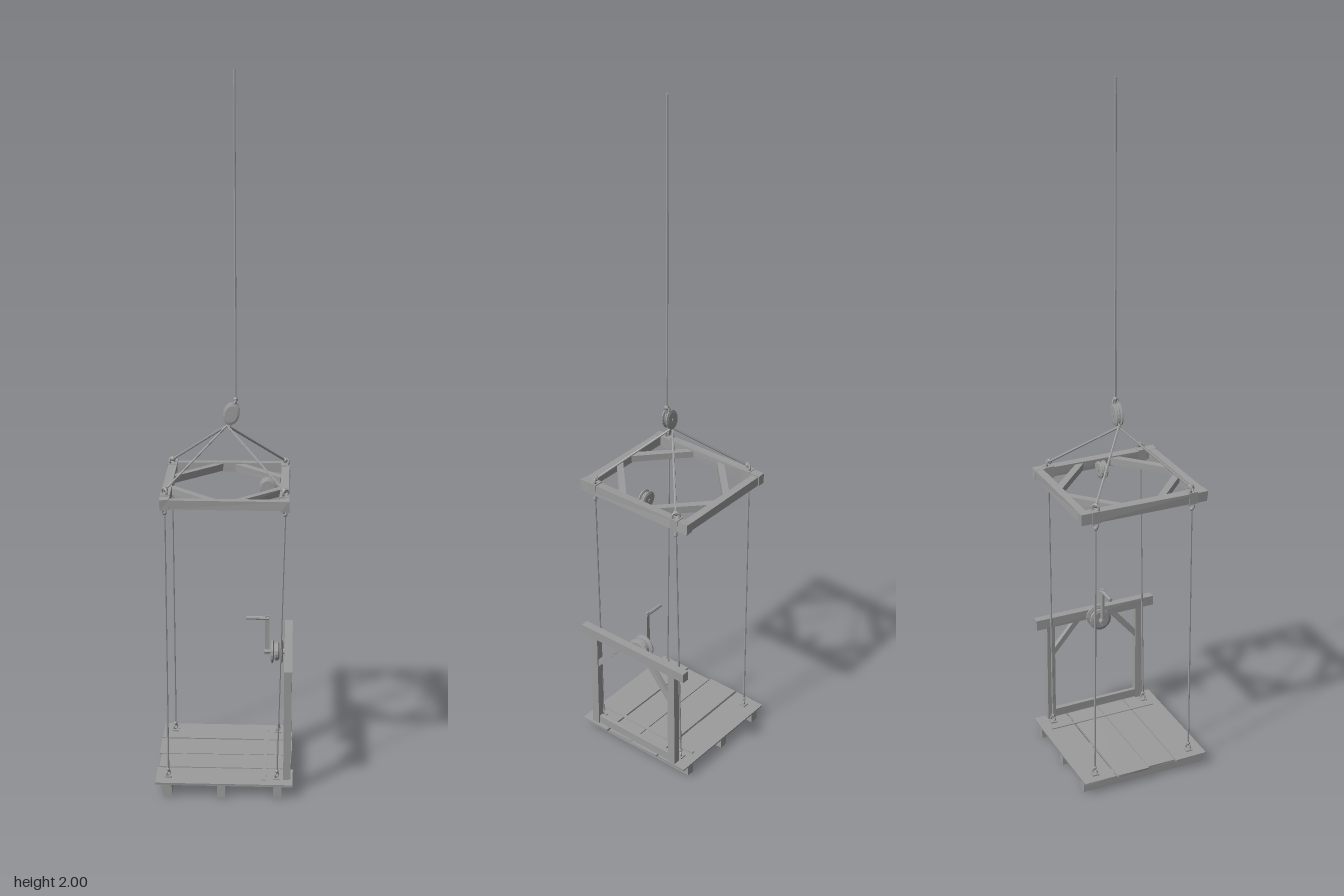
import * as THREE from 'three';

const mat = new THREE.MeshStandardMaterial({ color: 0x9c9c9c, flatShading: true });
const V = (x, y, z) => new THREE.Vector3(x, y, z);

// small seeded generator for hand-hewn timber
let seed = 7;
const rnd = () => ((seed = (seed * 16807) % 2147483647) / 2147483647 - 0.5);

export function createModel() {
  seed = 7;
  const root = new THREE.Group();
  const section = (name, parent = root) => {
    const g = new THREE.Group();
    g.name = name;
    parent.add(g);
    return g;
  };
  const add = (parent, name, geo, x = 0, y = 0, z = 0) => {
    const m = new THREE.Mesh(geo, mat);
    m.name = name;
    m.position.set(x, y, z);
    parent.add(m);
    return m;
  };

  // timber from a to b, slightly uneven at its ends; w across, h upward
  const beam = (parent, name, a, b, w, h, rough = 0.002) => {
    const geo = new THREE.BoxGeometry(w, h, a.distanceTo(b));
    const p = geo.attributes.position;
    const shift = Array.from({ length: 8 }, () => [rnd() * rough, rnd() * rough, rnd() * rough]);
    for (let i = 0; i < p.count; i++) {
      const s = shift[(p.getX(i) > 0) * 1 + (p.getY(i) > 0) * 2 + (p.getZ(i) > 0) * 4];
      p.setXYZ(i, p.getX(i) + s[0], p.getY(i) + s[1], p.getZ(i) + s[2]);
    }
    const m = add(parent, name, geo);
    m.position.copy(a).add(b).multiplyScalar(0.5);
    m.lookAt(b);
    return m;
  };
  const rod = (parent, name, a, b, r, sides = 6) => {
    const m = add(parent, name, new THREE.CylinderGeometry(r, r, a.distanceTo(b), sides));
    m.position.copy(a).add(b).multiplyScalar(0.5);
    m.quaternion.setFromUnitVectors(V(0, 1, 0), b.clone().sub(a).normalize());
    return m;
  };
  const ring = (parent, name, x, y, z, r, tube, turn = 0) => {
    const m = add(parent, name, new THREE.TorusGeometry(r, tube, 5, 10), x, y, z);
    m.rotation.y = turn;
    return m;
  };
  // disc with bevelled rims, axis along y
  const discGeo = (r, w) => new THREE.LatheGeometry(
    [[0, -w], [r * 0.75, -w], [r, -w * 0.4], [r, w * 0.4], [r * 0.75, w], [0, w]]
      .map(([x, y]) => new THREE.Vector2(x, y)), 16);

  // platform: four planks on three joists, with a thin slat on top
  const platform = section('platform');
  for (const x of [-0.16, -0.008, 0.15]) {
    beam(platform, 'joist', V(x, 0.018, -0.19), V(x, 0.018, 0.19), 0.024, 0.036, 0.001);
  }
  [[-0.195, -0.098, -0.195, 0.188], [-0.092, 0.004, -0.195, 0.189],
    [0.007, 0.09, -0.19, 0.187], [0.095, 0.191, -0.195, 0.192]].forEach(([z0, z1, x0, x1]) => {
    const z = (z0 + z1) / 2;
    beam(platform, 'plank', V(x0, 0.039, z), V(x1, 0.039, z), z1 - z0, 0.007, 0.0015);
  });
  beam(platform, 'floorSlat', V(0.112, 0.0435, -0.17), V(0.112, 0.0435, 0.165), 0.011, 0.003, 0);

  // side gate with braces
  const gate = section('gate');
  const gx = 0.176;
  for (const s of [-1, 1]) {
    beam(gate, 'gatePost', V(gx, 0.04, s * 0.145), V(gx, 0.36, s * 0.145), 0.02, 0.025);
    beam(gate, 'gateBrace', V(gx, 0.26, s * 0.14), V(gx, 0.36, s * 0.055), 0.015, 0.016);
  }
  beam(gate, 'gateTopRail', V(gx, 0.371, -0.19), V(gx, 0.371, 0.19), 0.023, 0.03);
  beam(gate, 'gateSill', V(gx, 0.057, -0.135), V(gx, 0.057, 0.135), 0.014, 0.026);

  // winch with crank handle
  const winch = section('winch');
  for (const [x, r, w] of [[0.13, 0.034, 0.005], [0.143, 0.026, 0.009], [0.156, 0.034, 0.005]]) {
    add(winch, 'winchDisc', discGeo(r, w), x, 0.367, 0).rotation.z = Math.PI / 2;
  }
  rod(winch, 'winchAxle', V(0.108, 0.367, 0), V(0.18, 0.367, 0), 0.008, 8);
  beam(winch, 'crankArm', V(0.115, 0.357, 0), V(0.115, 0.475, 0), 0.013, 0.007, 0.001).rotateZ(Math.PI);
  rod(winch, 'crankHandle', V(0.055, 0.468, 0), V(0.12, 0.468, 0), 0.0055, 8);

  // overhead frame
  const frame = section('overheadFrame');
  const fy = 0.865;
  for (const s of [-1, 1]) {
    beam(frame, 'sideBeam', V(s * 0.162, fy, -0.191), V(s * 0.162, fy, 0.189), 0.024, 0.03, 0.003);
    beam(frame, 'crossBeam', V(-0.152, fy, s * 0.177), V(0.152, fy, s * 0.177), 0.022, 0.026, 0.003);
    for (const t of [-1, 1]) {
      beam(frame, 'cornerBrace', V(s * 0.155, fy, t * 0.05), V(s * 0.025, fy, t * 0.172), 0.02, 0.02);
    }
  }

  // pulley wheel hung from the side beam
  const pulley = section('pulley');
  for (const s of [-1, 0, 1]) {
    add(pulley, 'pulleyDisc', discGeo(s ? 0.025 : 0.021, 0.004), 0.115, 0.862, s * 0.0075).rotation.x = Math.PI / 2;
  }
  rod(pulley, 'pulleyPin', V(0.115, 0.862, -0.014), V(0.115, 0.862, 0.014), 0.005);
  beam(pulley, 'pulleyBracket', V(0.125, 0.862, 0), V(0.155, 0.862, 0), 0.012, 0.012, 0);

  // corner ropes, lashings, eyes and bridle
  const rigging = section('rigging');
  for (const sx of [-1, 1]) for (const sz of [-1, 1]) {
    const tx = sx * 0.164, tz = sz * 0.145, bx = sx > 0 ? 0.147 : -0.16, bz = sz * 0.15;
    const corner = section('cornerRigging', rigging);
    rod(corner, 'cornerRope', V(bx, 0.06, bz), V(tx, 0.835, tz), 0.0033);
    add(corner, 'floorPlate', new THREE.BoxGeometry(0.02, 0.004, 0.02), bx, 0.044, bz);
    ring(corner, 'floorEye', bx, 0.053, bz, 0.007, 0.0028, Math.PI / 4);
    add(corner, 'ropeKnot', new THREE.SphereGeometry(0.006, 7, 5), bx, 0.065, bz);
    add(corner, 'lashing', new THREE.BoxGeometry(0.027, 0.035, 0.026), sx * 0.162, fy, tz);
    ring(corner, 'lowerEye', tx, 0.84, tz, 0.008, 0.003, Math.PI / 4);
    add(corner, 'ropeKnot', new THREE.SphereGeometry(0.0065, 7, 5), tx, 0.829, tz);
    ring(corner, 'upperEye', tx, 0.889, tz, 0.01, 0.0037, (sx * sz * Math.PI) / 4);
    add(corner, 'ropeKnot', new THREE.SphereGeometry(0.008, 7, 5), tx * 0.98, 0.896, tz * 0.98);
    rod(corner, 'bridleRope', V(tx, 0.892, tz), V(0, 1.037, 0), 0.0033);
  }

  // lifting block: oval cheeks around a wheel, with hook ring and shackle
  const block = section('liftingBlock');
  block.position.set(0.012, 1.071, 0);
  block.rotation.z = -0.3;
  for (const s of [-1, 0, 1]) {
    const cheek = add(block, s ? 'blockCheek' : 'blockWheel', discGeo(s ? 0.023 : 0.02, 0.0038), 0, 0, s * 0.0075);
    cheek.rotation.x = Math.PI / 2;
    cheek.scale.z = 1.4;
  }
  rod(block, 'blockPin', V(0, 0, -0.013), V(0, 0, 0.013), 0.005);
  ring(block, 'lowerRing', 0, -0.033, 0, 0.007, 0.003);
  ring(block, 'shackle', 0, 0.034, 0, 0.008, 0.0035, Math.PI / 2);

  // long hoisting cable
  const hoist = section('hoist');
  add(hoist, 'cableKnot', new THREE.SphereGeometry(0.007, 7, 5), 0.024, 1.112, 0);
  rod(hoist, 'hoistCable', V(0.024, 1.09, 0), V(0.019, 2, 0), 0.0033);

  return root;
}
